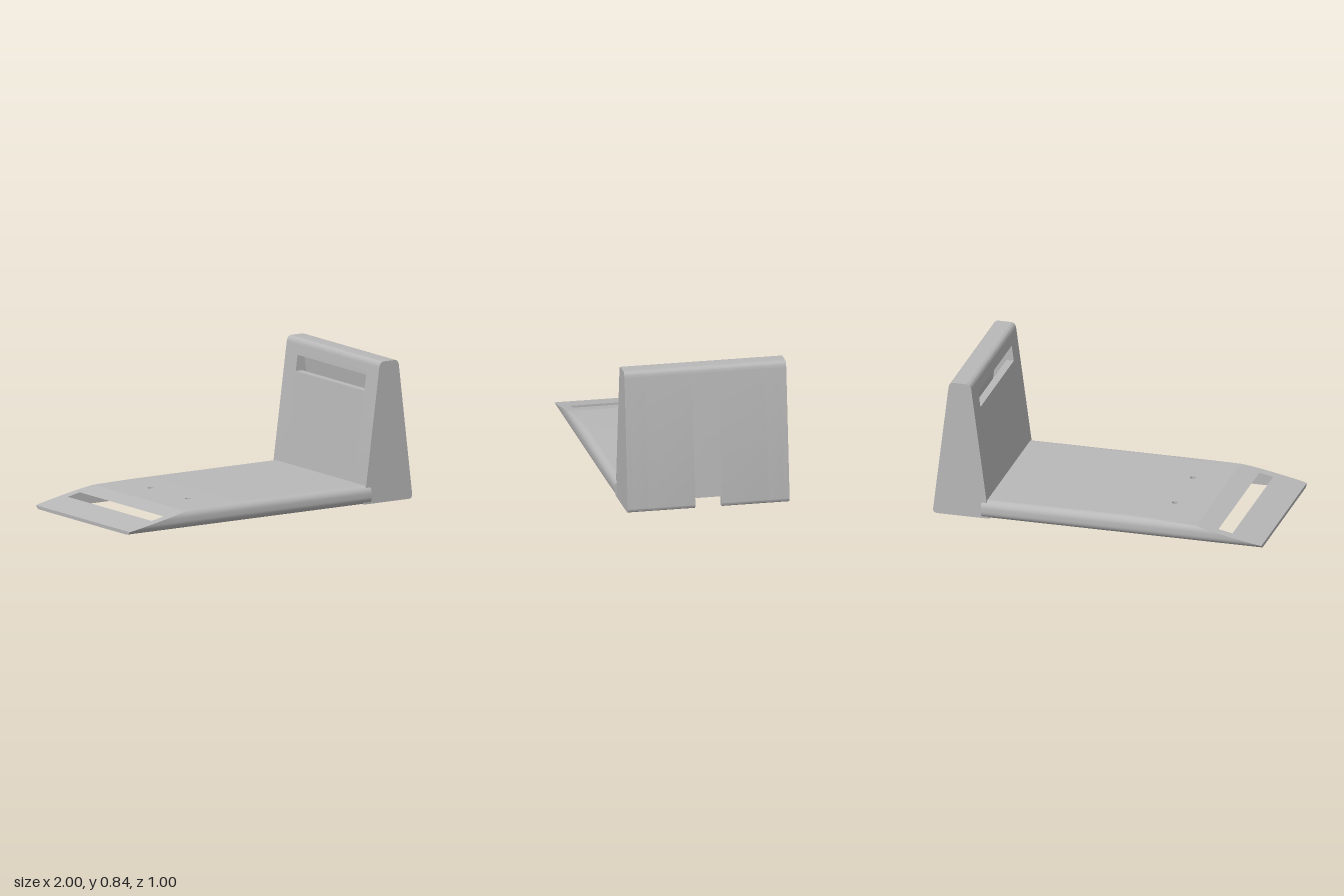
import * as THREE from 'three';
import { toCreasedNormals } from 'three/addons/utils/BufferGeometryUtils.js';

const grey = new THREE.MeshStandardMaterial({ color: 0xb8b8b8 });
grey.name = 'light grey';

const END = 0.705;      // base end under the tower
const RAIL = 0.44;      // inner side of the base rails
const R = 0.045;        // rounding of the base sides
const T = 0.045;        // tower wall thickness

// Height of the base along x: ramp, gentle rise, flat
function top(x) {
  if (x < -0.6) return 0.02 + (x + 1) * 0.2;
  if (x < -0.2) return 0.1 + (x + 0.6) * 0.025;
  return 0.11;
}

// Half width of the rounded base at height y
function halfWidth(y) {
  const d = Math.max(R - y, y - 0.065, 0);
  return 0.5 - R + Math.sqrt(Math.max(R * R - d * d, 0));
}

function add(group, name, geometry) {
  const mesh = new THREE.Mesh(toCreasedNormals(geometry, 0.4), grey);
  mesh.name = name;
  group.add(mesh);
}

// Base piece between the rails, its top following the base height
function slab(x0, x1, bottom, holes = []) {
  const shape = new THREE.Shape([[x0, -RAIL], [x1, -RAIL], [x1, RAIL], [x0, RAIL]]
    .map(([x, z]) => new THREE.Vector2(x, z)));
  for (const [x, z] of holes) {
    shape.holes.push(new THREE.Path().absarc(x, z, 0.018, 0, Math.PI * 2, true));
  }
  const g = new THREE.ExtrudeGeometry(shape, { depth: 1, bevelEnabled: false, curveSegments: 24 });
  g.rotateX(-Math.PI / 2);
  const p = g.attributes.position;
  for (let i = 0; i < p.count; i++) p.setY(i, p.getY(i) > 0.5 ? top(p.getX(i)) : bottom);
  return g;
}

// Rounded side rail lofted along x, its section clipped by the ramp
function rail(side) {
  const xs = [];
  for (let i = 0; i <= 16; i++) xs.push(-1 + i * 0.025);
  xs.push(-0.5, -0.4, -0.3, -0.2, END);
  const heights = [];
  for (let i = 0; i <= 8; i++) heights.push(R - R * Math.cos(i * Math.PI / 16));
  for (let i = 0; i <= 8; i++) heights.push(0.065 + R * Math.sin(i * Math.PI / 16));
  const rings = xs.map(x => {
    const ring = [[x, 0, side * RAIL]];
    for (const h of heights) {
      const y = Math.min(h, top(x));
      ring.push([x, y, side * halfWidth(y)]);
    }
    ring.push([x, top(x), side * RAIL]);
    return ring;
  });
  const pos = [];
  const tri = (a, b, c) => pos.push(...a, ...(side > 0 ? b : c), ...(side > 0 ? c : b));
  const n = rings[0].length, last = rings[rings.length - 1];
  for (let i = 0; i < rings.length - 1; i++) {
    for (let j = 0; j < n; j++) {
      const k = (j + 1) % n, p = rings[i], q = rings[i + 1];
      tri(p[j], q[j], p[k]);
      tri(p[k], q[j], q[k]);
    }
  }
  for (let j = 1; j < n - 1; j++) {
    tri(rings[0][0], rings[0][j], rings[0][j + 1]);
    tri(last[0], last[j + 1], last[j]);
  }
  const g = new THREE.BufferGeometry();
  g.setAttribute('position', new THREE.Float32BufferAttribute(pos, 3));
  return g;
}

// Sloping inner and outer faces of the tower
const xIn = y => 0.66 + 0.1333 * y;
const xOut = y => 1.003 - 0.12 * y;

// Tower section: walls start at the given heights; solid fills the cavity
function towerSection(yIn, yOut, solid = false) {
  const s = new THREE.Shape();
  s.moveTo(xIn(yIn), yIn);
  s.lineTo(xIn(0.805), 0.805);
  s.quadraticCurveTo(xIn(0.84), 0.84, 0.8, 0.84);
  s.lineTo(0.875, 0.84);
  s.quadraticCurveTo(xOut(0.84), 0.84, xOut(0.805), 0.805);
  if (yOut > 0) {
    s.lineTo(xOut(yOut), yOut);
  } else {
    s.lineTo(xOut(0.03), 0.03);
    s.quadraticCurveTo(xOut(0), 0, 0.973, 0);
  }
  if (!solid) {
    s.lineTo(xOut(yOut) - T, yOut);
    s.lineTo(xOut(0.8) - T, 0.8);
    s.lineTo(xIn(0.8) + T, 0.8);
    s.lineTo(xIn(yIn) + T, yIn);
  }
  s.closePath();
  return s;
}

function extrudeZ(shape, z0, z1) {
  const g = new THREE.ExtrudeGeometry(shape, { depth: z1 - z0, bevelEnabled: false, curveSegments: 10 });
  return g.translate(0, 0, z0);
}

export function createModel() {
  const model = new THREE.Group();
  model.name = 'stand';

  // Base: hollow underneath, with the opening left between ramp and panel
  const base = new THREE.Group();
  base.name = 'base';
  add(base, 'rampTip', slab(-1, -0.81, 0));
  add(base, 'panelRamp', slab(-0.725, -0.6, 0.075));
  add(base, 'panelWithHoles', slab(-0.6, -0.2, 0.075, [[-0.39, 0.195], [-0.39, -0.195]]));
  add(base, 'panelFlat', slab(-0.2, 0.55, 0.075));
  add(base, 'rearBlock', slab(0.55, END, 0));
  add(base, 'leftRail', rail(1));
  add(base, 'rightRail', rail(-1));
  model.add(base);

  // Tower: hollow shell, slot in the inner face, notch in the outer face
  const tower = new THREE.Group();
  tower.name = 'tower';
  const slotLow = 0.65, slotHigh = 0.745, notch = 0.065;
  for (const s of [-1, 1]) {
    const between = (shape, a, b) => extrudeZ(shape, Math.min(s * a, s * b), Math.max(s * a, s * b));
    add(tower, 'endWall', between(towerSection(0, 0, true), 0.455, 0.485));
    add(tower, 'shellEnd', between(towerSection(0, 0), 0.36, 0.455));
    add(tower, 'shellBesideNotch', between(towerSection(slotHigh, 0), 0.08, 0.36));
  }
  add(tower, 'shellAboveNotch', extrudeZ(towerSection(slotHigh, notch), -0.08, 0.08));
  const lower = new THREE.Shape([[0, 0], [0, slotLow], [T, slotLow], [T, 0]]
    .map(([dx, y]) => new THREE.Vector2(xIn(y) + dx, y)));
  add(tower, 'wallBelowSlot', extrudeZ(lower, -0.36, 0.36));
  model.add(tower);

  return model;
}
